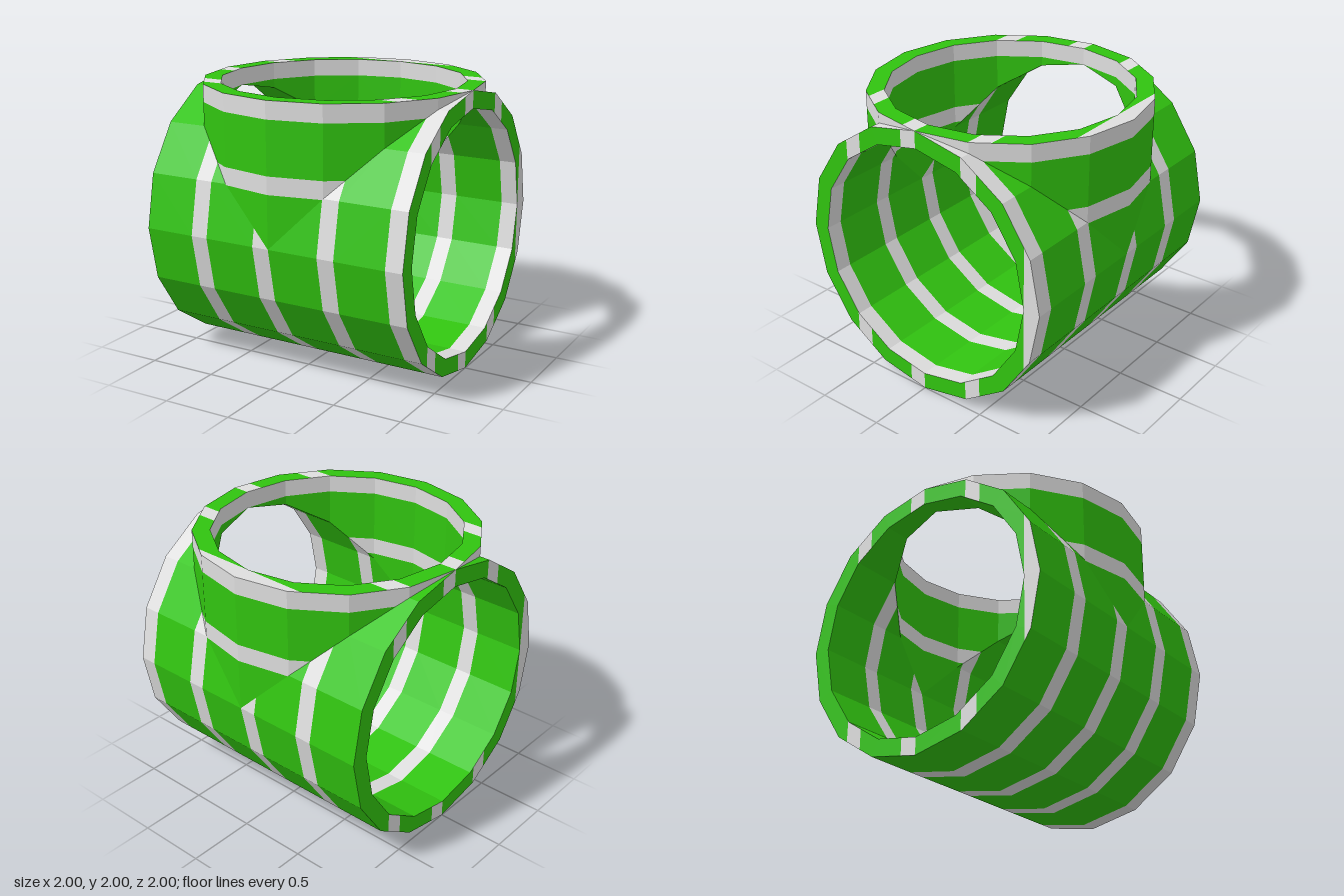
import * as THREE from 'three';

const SIDES = 16, OUTER = 1, INNER = 0.875, BAND = 0.125, PERIOD = 0.5;

const green = new THREE.MeshStandardMaterial({ name: 'green', color: 0x31c410 });
const grey = new THREE.MeshStandardMaterial({ name: 'lightGrey', color: 0xdedede });

// Keep the part of a convex polygon where sign * (p[axis] - limit) >= 0
function clip(poly, axis, limit, sign) {
  const out = [];
  poly.forEach((p, i) => {
    const q = poly[(i + 1) % poly.length];
    const dp = sign * (p.getComponent(axis) - limit);
    const dq = sign * (q.getComponent(axis) - limit);
    if (dp >= 0) out.push(p);
    if (dp * dq < 0) out.push(p.clone().lerp(q, dp / (dp - dq)));
  });
  return out;
}

// Collects flat polygons, cut into green and grey bands, for one mesh
class StripedPart {
  constructor(name) {
    this.name = name;
    this.tris = [[], []];
  }

  add(points, facing, axis, dir = 1) {
    const poly = points.map((p) => new THREE.Vector3(...p));
    for (let k = -2; k < 2; k++) {
      const start = k * PERIOD, mid = start + PERIOD - BAND, end = start + PERIOD;
      [[start, mid], [mid, end]].forEach(([a, b], colour) => {
        const lo = Math.min(a * dir, b * dir), hi = Math.max(a * dir, b * dir);
        this.fan(clip(clip(poly, axis, lo, 1), axis, hi, -1), facing, colour);
      });
    }
  }

  fan(poly, facing, colour) {
    const f = new THREE.Vector3(...facing);
    for (let i = 1; i + 1 < poly.length; i++) {
      const [a, b, c] = [poly[0], poly[i], poly[i + 1]];
      const n = b.clone().sub(a).cross(c.clone().sub(a));
      if (n.length() < 1e-9) continue;
      const tri = n.dot(f) > 0 ? [a, b, c] : [a, c, b];
      tri.forEach((v) => this.tris[colour].push(v.x, v.y, v.z));
    }
  }

  mesh() {
    const geo = new THREE.BufferGeometry();
    const [g, s] = this.tris;
    geo.setAttribute('position', new THREE.Float32BufferAttribute(g.concat(s), 3));
    geo.addGroup(0, g.length / 3, 0);
    geo.addGroup(g.length / 3, s.length / 3, 1);
    geo.computeVertexNormals();
    const mesh = new THREE.Mesh(geo, [green, grey]);
    mesh.name = this.name;
    return mesh;
  }
}

// Corner of the regular cross-section; exact zero on the axes
function corner(i, r) {
  const a = (i / SIDES) * Math.PI * 2;
  const snap = (v) => (Math.abs(v) < 1e-9 ? 0 : v);
  return [snap(r * Math.cos(a)), snap(r * Math.sin(a))];
}

export function createModel() {
  const model = new THREE.Group();
  model.name = 'teePipe';
  const pipes = new THREE.Group();
  pipes.name = 'pipes';
  pipes.position.y = 1;
  model.add(pipes);

  // Pipe walls, mitred where the equal-sized pipes meet (y = |x|)
  for (const [label, r, out] of [['Outer', OUTER, 1], ['Inner', INNER, -1]]) {
    const barrel = new StripedPart('barrel' + label + 'Wall');
    const branch = new StripedPart('branch' + label + 'Wall');
    for (let i = 0; i < SIDES; i++) {
      const [a0, b0] = corner(i, r), [a1, b1] = corner(i + 1, r);
      const fa = (a0 + a1) * out, fb = (b0 + b1) * out;

      // Barrel runs along x: a is z, b is y
      if (b0 + b1 < 0) {
        barrel.add([[-1, b0, a0], [1, b0, a0], [1, b1, a1], [-1, b1, a1]], [0, fb, fa], 0);
      } else {
        for (const s of [-1, 1]) {
          barrel.add([[s * b0, b0, a0], [s, b0, a0], [s, b1, a1], [s * b1, b1, a1]], [0, fb, fa], 0);
        }
      }

      // Branch runs up y: a is x, b is z
      branch.add([[a0, Math.abs(a0), b0], [a1, Math.abs(a1), b1], [a1, 1, b1], [a0, 1, b0]],
        [fa, 0, fb], 1);
    }
    pipes.add(barrel.mesh(), branch.mesh());
  }

  // Flat rims at the three open ends
  const rims = [
    ['leftRim', (a, b) => [1, b, a], [1, 0, 0], -1],
    ['rightRim', (a, b) => [-1, b, a], [-1, 0, 0], 1],
    ['topRim', (a, b) => [b, 1, a], [0, 1, 0], -1],
  ];
  for (const [name, place, facing, dir] of rims) {
    const rim = new StripedPart(name);
    for (let i = 0; i < SIDES; i++) {
      rim.add([corner(i, OUTER), corner(i + 1, OUTER), corner(i + 1, INNER), corner(i, INNER)]
        .map(([a, b]) => place(a, b)), facing, 2, dir);
    }
    pipes.add(rim.mesh());
  }
  return model;
}
